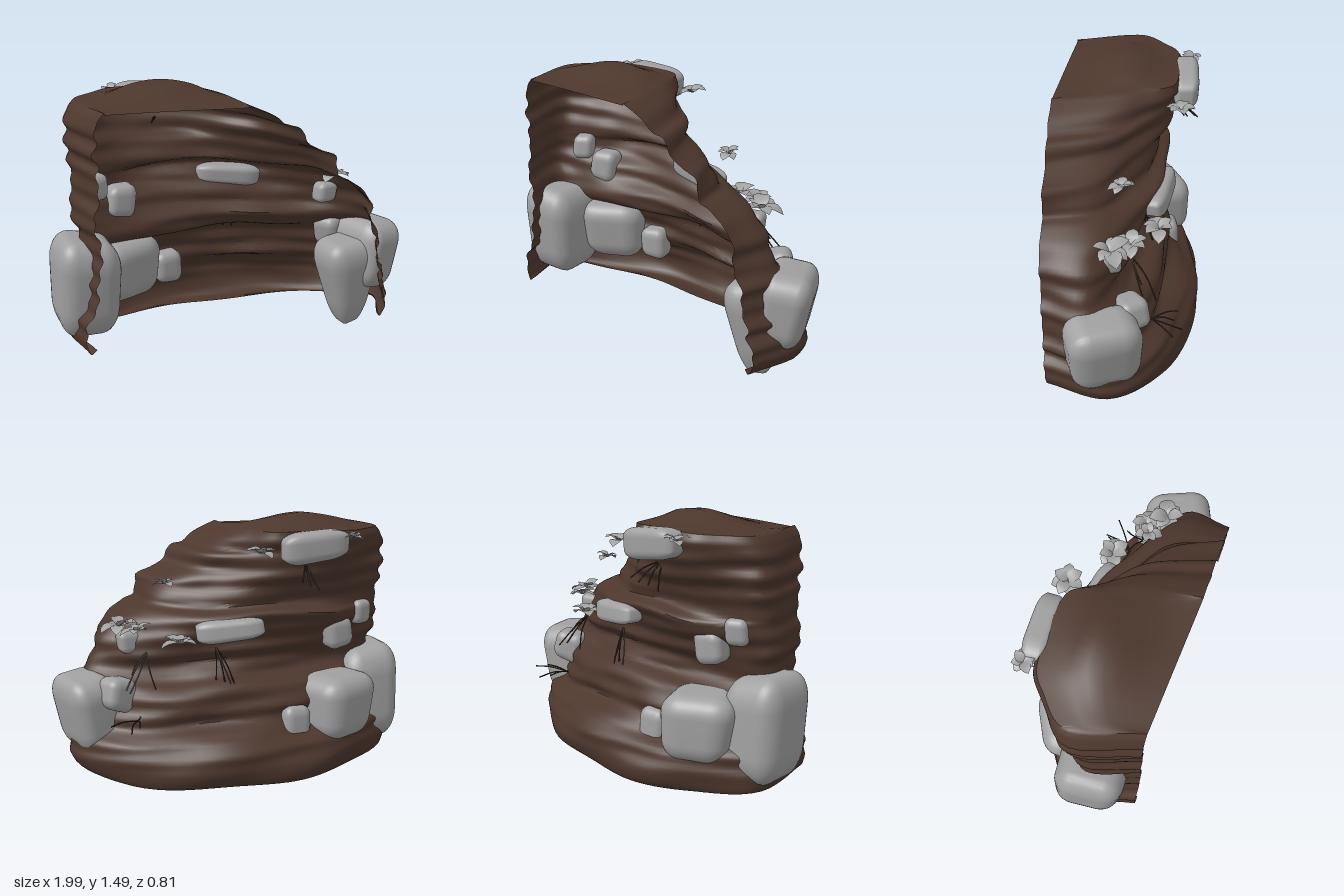
import * as THREE from 'three';
import { toCreasedNormals, mergeVertices } from 'three/addons/utils/BufferGeometryUtils.js';
import { RoundedBoxGeometry } from 'three/addons/geometries/RoundedBoxGeometry.js';

const V = (x, y, z) => new THREE.Vector3(x, y, z);
const { lerp, smoothstep } = THREE.MathUtils;

let seed = 7;
const rnd = () => {
  seed = (seed * 16807) % 2147483647;
  return seed / 2147483647;
};
const vary = (a) => (rnd() * 2 - 1) * a;

// Strata of the cliff: height, left bulge x, right front x, back z
const strata = [
  [0.07, -0.87, 0.79, -0.17],
  [0.045, -0.9, 0.81, -0.35],
  [0.12, -0.92, 0.84, -0.39],
  [0.2, -0.92, 0.84, -0.38],
  [0.27, -0.9, 0.81, -0.345],
  [0.31, -0.88, 0.8, -0.28],
  [0.36, -0.86, 0.81, -0.21],
  [0.45, -0.85, 0.77, -0.21],
  [0.55, -0.84, 0.77, -0.17],
  [0.6, -0.83, 0.75, -0.075],
  [0.67, -0.82, 0.72, -0.04],
  [0.74, -0.84, 0.71, -0.09],
  [0.82, -0.86, 0.71, -0.11],
  [0.88, -0.86, 0.65, -0.16],
  [0.95, -0.85, 0.58, -0.19],
  [0.99, -0.84, 0.5, -0.13],
  [1.09, -0.86, 0.49, -0.15],
  [1.14, -0.85, 0.4, -0.18],
  [1.2, -0.87, 0.32, -0.2],
  [1.27, -0.86, 0.29, -0.22],
  [1.29, -0.86, 0.22, -0.225],
  [1.35, -0.85, 0.13, -0.245],
  [1.4, -0.81, 0.02, -0.23],
];
const COLS = 48, ROWS = 100, CAP = 8;

// One horizontal cross-section, running left front, round the back, to right front
function ring([y, xL, xF, zb]) {
  const k = smoothstep(y, 0.55, 1.25);
  const bl = lerp(-0.25, -0.58, k), br = lerp(0.22, -0.18, k);
  const zs = 0.13 + 0.35 * zb, zF = lerp(0.36, 0.403, y / 1.4);
  const xR = lerp(xF + 0.08, lerp(br, xF, 0.72), k);
  const ctrl = [
    V(xL + lerp(0.07, 0.1, k), y, 0.365),
    V(xL, y, zs - 0.06 * k),
    V(lerp(xL, bl, 0.5), y, lerp(zs, zb, 0.68)),
    V(bl, y, zb),
    V(br, y, zb),
    V(lerp(br, xR, 0.6), y, lerp(zs, zb, lerp(0.68, 0.4, k))),
    V(xR, y, zs + 0.03),
    V(xF, y, zF),
  ];
  const pts = new THREE.CatmullRomCurve3(ctrl).getPoints(COLS);
  const low = 1 - smoothstep(y, 0.05, 0.4);
  for (const p of pts) {
    p.y += low * 0.075 * smoothstep(p.z, -0.35, 0.15);
    p.y += 0.014 * Math.sin(p.x * 7 + y * 3) * (1 - low) * (y < 1.3 ? 1 : 0.4);
    p.z += 0.012 * Math.sin(p.x * 9 + y * 17) * smoothstep(0.3 - p.z, 0, 0.3);
  }
  return pts;
}

// Fine horizontal layers pushed in and out of the wall
function layer(p) {
  const out = V(p.x, 0, p.z - 0.3).normalize();
  const fade = smoothstep(p.y, 0.12, 0.25) * (1 - smoothstep(p.y, 1.3, 1.4));
  const wave = 0.008 * Math.sin(p.y * 62 + p.x * 4) + 0.004 * Math.sin(p.y * 37 - p.x * 11);
  return p.addScaledVector(out, fade * wave);
}

function cliffGeometry() {
  const rings = strata.map(ring);
  const columns = rings[0].map((_, j) =>
    new THREE.CatmullRomCurve3(rings.map((r) => r[j])).getPoints(ROWS).map(layer));
  const top = columns.map((c) => c[ROWS]);
  // Plateau drawn forward from the rim to its straight front edge
  columns.forEach((c, j) => {
    const front = top[0].clone().lerp(top[COLS], j / COLS);
    front.y = 1.385;
    for (let s = 1; s <= CAP; s++) {
      const p = top[j].clone().lerp(front, s / CAP);
      const d = ((p.x + 0.38) / 0.3) ** 2 + ((p.z - 0.02) / 0.2) ** 2;
      p.y += 0.08 * Math.exp(-d) * Math.min(1, s / 3);
      c.push(p);
    }
  });
  const pos = [], index = [], h = ROWS + CAP + 1;
  columns.forEach((c) => c.forEach((p) => pos.push(p.x, p.y, p.z)));
  for (let j = 0; j < COLS; j++)
    for (let i = 0; i < h - 1; i++) {
      const a = j * h + i, b = a + h;
      index.push(a, a + 1, b, b, a + 1, b + 1);
    }
  const g = new THREE.BufferGeometry();
  g.setAttribute('position', new THREE.Float32BufferAttribute(pos, 3));
  g.setIndex(index);
  return toCreasedNormals(g, 0.75);
}

// Softly rounded, irregular block
function boulderGeometry(w, h, d, taper) {
  let g = new RoundedBoxGeometry(1, 1, 1, 4, 0.3);
  g.deleteAttribute('uv');
  g.deleteAttribute('normal');
  const p = g.attributes.position;
  const sx = vary(0.12), sz = vary(0.12), tilt = vary(0.2);
  for (let i = 0; i < p.count; i++) {
    const x = p.getX(i), y = p.getY(i), z = p.getZ(i);
    const t = 1 + taper * y;
    p.setXYZ(i, (x * t + sx * y) * w, (y * (1 + tilt * x)) * h, (z * t + sz * y) * d);
  }
  g = mergeVertices(g, 1e-4);
  g.computeVertexNormals();
  return g;
}

// Broad leaf, folded along its midrib and drooping at the tip
function leafGeometry() {
  const g = new THREE.PlaneGeometry(1, 1, 2, 5);
  const p = g.attributes.position;
  for (let i = 0; i < p.count; i++) {
    const t = p.getY(i) + 0.5, s = p.getX(i) * 2;
    const w = 0.38 * Math.sin(Math.PI * (0.06 + t * 0.94)) ** 0.7;
    p.setXYZ(i, s * w, 0.75 * t - 0.75 * t * t + 0.15 * Math.abs(s) * w, t);
  }
  g.computeVertexNormals();
  return g;
}

export function createModel() {
  const earth = new THREE.MeshStandardMaterial({ color: 0x4d372d, side: THREE.DoubleSide });
  earth.name = 'earth brown';
  const stone = new THREE.MeshStandardMaterial({ color: 0xa0a0a0 });
  stone.name = 'stone grey';
  const foliage = new THREE.MeshStandardMaterial({ color: 0xa2a2a2, side: THREE.DoubleSide });
  foliage.name = 'leaf grey';
  const bark = new THREE.MeshStandardMaterial({ color: 0x3c2a22 });
  bark.name = 'root brown';

  const model = new THREE.Group();
  model.name = 'cliff';
  const add = (parent, geo, mat, name) => {
    const m = new THREE.Mesh(geo, mat);
    m.name = name;
    parent.add(m);
    return m;
  };
  add(model, cliffGeometry(), earth, 'cliffShell');

  // Boulders: centre, size, turn about y, tilt about z, taper
  const boulders = [
    [-0.81, 0.41, 0.09, 0.34, 0.55, 0.38, 0.1, -0.1, 0.1],
    [-0.57, 0.4, -0.13, 0.38, 0.36, 0.32, 0.5, 0, 0.2],
    [-0.3, 0.34, -0.2, 0.16, 0.19, 0.14, 0.2, 0, 0],
    [0.82, 0.41, 0.06, 0.27, 0.42, 0.38, 0.4, -0.15, 0.1],
    [0.705, 0.26, 0.12, 0.28, 0.53, 0.23, 0.2, 0.1, 0.85],
    [0.67, 0.53, -0.07, 0.18, 0.18, 0.16, 0.6, 0.3, 0],
    [-0.58, 0.81, -0.07, 0.16, 0.18, 0.14, 0.2, -0.1, 0],
    [-0.72, 0.91, -0.03, 0.12, 0.14, 0.12, 0.5, 0, 0],
    [0.58, 0.79, 0.04, 0.13, 0.12, 0.1, 0.3, 0, 0],
    [0.06, 0.88, -0.17, 0.37, 0.12, 0.14, -0.15, -0.1, 0],
    [-0.37, 1.33, -0.285, 0.36, 0.16, 0.14, 0.05, -0.1, 0],
  ];
  boulders.forEach(([x, y, z, w, h, d, turn, tilt, taper]) => {
    const b = add(model, boulderGeometry(w, h, d, taper), stone, 'boulder');
    b.position.set(x, y, z);
    b.rotation.set(0, turn, tilt);
  });

  // Leafy plants: position and leaf length
  const leaf = leafGeometry();
  const plants = [
    [-0.57, 1.37, -0.31, 0.065], [-0.08, 1.3, -0.27, 0.085], [0.34, 0.82, -0.19, 0.095],
    [0.39, 1.11, 0.0, 0.07], [0.55, 0.87, -0.06, 0.085], [0.63, 0.88, 0.04, 0.105],
  ];
  plants.forEach(([x, y, z, size]) => {
    const plant = new THREE.Group();
    plant.name = 'plant';
    plant.position.set(x, y, z);
    for (let i = 0; i < 7; i++) {
      const l = add(plant, leaf, foliage, 'leaf');
      l.rotation.set(vary(0.4) - 0.1, (i / 7) * Math.PI * 2 + vary(0.25), 0, 'YXZ');
      l.scale.setScalar(size * (0.85 + rnd() * 0.3));
    }
    model.add(plant);
  });

  // Bare roots: origin and main direction
  const roots = [
    [V(-0.35, 1.23, -0.2), V(0, -0.12, -0.13)],
    [V(0.12, 0.76, -0.09), V(0, -0.17, -0.08)],
    [V(0.5, 0.75, -0.06), V(0.04, -0.14, -0.1)],
    [V(0.57, 0.4, -0.17), V(0.07, 0.03, -0.14)],
  ];
  roots.forEach(([from, dir]) => {
    const cluster = new THREE.Group();
    cluster.name = 'roots';
    for (let i = 0; i < 4; i++) {
      const end = from.clone().add(dir).add(V(vary(0.09), vary(0.05), vary(0.05)));
      const mid = from.clone().lerp(end, 0.5).add(V(vary(0.012), 0.012, vary(0.012)));
      const path = new THREE.CatmullRomCurve3([from, mid, end]);
      add(cluster, new THREE.TubeGeometry(path, 5, 0.004, 5), bark, 'root');
    }
    model.add(cluster);
  });
  return model;
}
